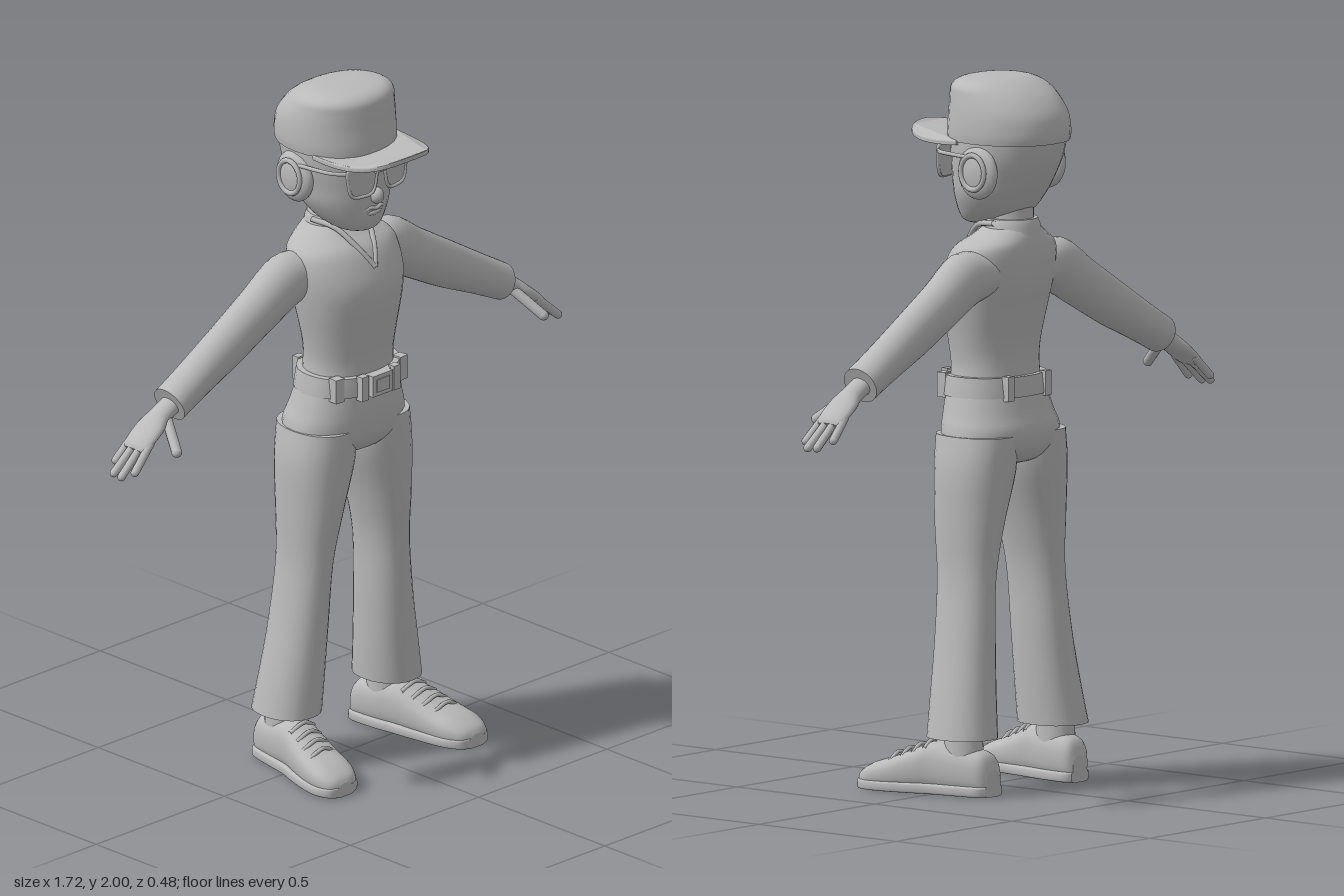
import * as THREE from 'three';

const V = (x, y, z) => new THREE.Vector3(x, y, z);
const gray = new THREE.MeshStandardMaterial({ color: 0xbababa, side: THREE.DoubleSide });
gray.name = 'plain gray';

// Smooth skin over oval rings [cx, cy, cz, rx, rz, tilt about z]; p < 1 makes the ovals boxier
function loft(keys, p = 1, seg = 28, sub = 4) {
  const rings = [];
  const last = keys.length - 1;
  for (let i = 0; i <= last * sub; i++) {
    const k = Math.min(Math.floor(i / sub), last - 1), t = i / sub - k;
    const at = n => keys[Math.max(0, Math.min(last, n))];
    rings.push(keys[k].map((b, c) => {
      const a = at(k - 1)[c], d = at(k + 1)[c], e = at(k + 2)[c];
      return b + 0.5 * t * (d - a + t * (2 * a - 5 * b + 4 * d - e + t * (3 * (b - d) + e - a)));
    }));
  }
  const pos = [], idx = [];
  const pow = v => Math.sign(v) * Math.abs(v) ** p;
  const addRing = ([cx, cy, cz, rx, rz, tilt]) => {
    for (let j = 0; j < seg; j++) {
      const a = j / seg * Math.PI * 2, u = rx * pow(Math.cos(a));
      pos.push(cx + u * Math.cos(tilt), cy + u * Math.sin(tilt), cz + rz * pow(Math.sin(a)));
    }
  };
  rings.forEach(addRing);
  for (let i = 0; i < rings.length - 1; i++) for (let j = 0; j < seg; j++) {
    const a = i * seg + j, b = i * seg + (j + 1) % seg, c = a + seg, d = b + seg;
    idx.push(a, c, b, b, c, d);
  }
  // End caps have their own corners so that their rims stay sharp
  [rings[0], rings[rings.length - 1]].forEach((r, top) => {
    const s = pos.length / 3;
    addRing(r);
    pos.push(r[0], r[1], r[2]);
    for (let j = 0; j < seg; j++) {
      const a = s + j, b = s + (j + 1) % seg;
      idx.push(s + seg, top ? b : a, top ? a : b);
    }
  });
  const g = new THREE.BufferGeometry();
  g.setAttribute('position', new THREE.Float32BufferAttribute(pos, 3));
  g.setIndex(idx);
  g.computeVertexNormals();
  return g;
}

// Level ring from height, half width, front z and back z
const ring = (y, rx, zf, zb, cx = 0) => [cx, y, (zf + zb) / 2, rx, (zf - zb) / 2, 0];

// Rounded rod between two points
function rod(a, b, r) {
  const d = b.clone().sub(a);
  const g = new THREE.CapsuleGeometry(r, d.length(), 4, 10);
  g.applyQuaternion(new THREE.Quaternion().setFromUnitVectors(V(0, 1, 0), d.normalize()));
  const m = a.clone().add(b).multiplyScalar(0.5);
  return g.translate(m.x, m.y, m.z);
}

const tube = (pts, r, closed = false) =>
  new THREE.TubeGeometry(new THREE.CatmullRomCurve3(pts, closed), 32, r, 8, closed);
const ball = (x, y, z, a, b, c) => new THREE.SphereGeometry(1, 24, 16).scale(a, b, c).translate(x, y, z);
const box = (x, y, z, a, b, c) => new THREE.BoxGeometry(a, b, c).translate(x, y, z);

function mirrored(geo) {
  const g = geo.clone().scale(-1, 1, 1);
  const n = g.attributes.position.count;
  const idx = g.index ? Array.from(g.index.array) : Array.from({ length: n }, (_, i) => i);
  g.setIndex(idx.reverse());
  g.clearGroups();
  return g;
}

export function createModel() {
  const model = new THREE.Group();
  model.name = 'figure';
  const add = (name, geo) => {
    const m = new THREE.Mesh(geo, gray);
    m.name = name;
    model.add(m);
  };
  const pair = (name, geo) => {
    add(name + 'Left', geo);
    add(name + 'Right', mirrored(geo));
  };

  // Head, neck and face
  add('head', loft([
    ring(1.578, 0.03, 0.06, 0), ring(1.59, 0.068, 0.078, -0.05), ring(1.62, 0.1, 0.09, -0.125),
    ring(1.67, 0.13, 0.094, -0.165), ring(1.72, 0.142, 0.097, -0.195),
    ring(1.78, 0.153, 0.1, -0.222), ring(1.85, 0.155, 0.1, -0.234), ring(1.9, 0.14, 0.08, -0.21),
  ]));
  add('neck', loft([ring(1.54, 0.068, -0.01, -0.145), ring(1.6, 0.062, -0.01, -0.14), ring(1.66, 0.065, 0, -0.14)]));
  add('nose', ball(0, 1.692, 0.095, 0.02, 0.024, 0.023));
  add('upperLip', tube([V(-0.042, 1.646, 0.077), V(-0.02, 1.657, 0.09), V(0, 1.653, 0.093), V(0.02, 1.657, 0.09), V(0.042, 1.646, 0.077)], 0.006));
  add('lowerLip', ball(0, 1.64, 0.087, 0.028, 0.008, 0.009));
  pair('ear', ball(0.147, 1.742, -0.078, 0.027, 0.075, 0.068));
  pair('earRim', new THREE.TorusGeometry(0.042, 0.007, 8, 24).rotateY(Math.PI / 2).scale(1, 1.15, 1).translate(0.171, 1.745, -0.078));

  // Glasses
  const rim = [[-0.046, 0.04], [0, 0.045], [0.046, 0.04], [0.047, 0], [0.034, -0.04], [0, -0.046], [-0.034, -0.04], [-0.047, 0]];
  const onFace = x => 0.113 - 1.3 * x * x;
  pair('glassesRim', tube(rim.map(([x, y]) => V(0.065 + x, 1.755 + y, onFace(0.065 + x))), 0.005, true));
  const lens = new THREE.ExtrudeGeometry(new THREE.Shape().setFromPoints(
    new THREE.SplineCurve([...rim, rim[0]].map(([x, y]) => new THREE.Vector2(x, y))).getPoints(32)), { depth: 0.006, bevelEnabled: false });
  pair('lens', lens.rotateY(0.17).translate(0.065, 1.755, 0.1));
  add('glassesBridge', rod(V(-0.02, 1.772, 0.112), V(0.02, 1.772, 0.112), 0.005));
  pair('glassesTemple', tube([V(0.112, 1.785, 0.095), V(0.143, 1.787, 0.06), V(0.162, 1.785, -0.05)], 0.006));

  // Cap with curved brim
  add('cap', loft([
    ring(1.822, 0.16, 0.107, -0.24), ring(1.85, 0.163, 0.106, -0.242), ring(1.9, 0.161, 0.1, -0.23),
    ring(1.945, 0.153, 0.096, -0.194), ring(1.975, 0.142, 0.089, -0.15), ring(1.993, 0.108, 0.065, -0.105),
    ring(1.999, 0.05, 0.02, -0.05), ring(2, 0.002, -0.01, -0.014),
  ], 0.94));
  const visor = new THREE.Shape();
  visor.moveTo(-0.15, 0);
  visor.bezierCurveTo(-0.15, 0.1, -0.14, 0.235, 0, 0.235);
  visor.bezierCurveTo(0.14, 0.235, 0.15, 0.1, 0.15, 0);
  const brim = new THREE.ExtrudeGeometry(visor, { depth: 0.008, bevelSize: 0.003, bevelThickness: 0.003, bevelSegments: 2, curveSegments: 20 });
  brim.rotateX(Math.PI / 2).translate(0, 1.862, 0);
  const bp = brim.attributes.position;
  for (let i = 0; i < bp.count; i++) {
    bp.setY(i, bp.getY(i) - 1.7 * bp.getX(i) ** 2 - 0.06 * bp.getZ(i));
  }
  brim.computeVertexNormals();
  add('brim', brim);

  // Shirt with collar
  add('shirt', loft([
    ring(1.1, 0.148, 0.092, -0.13), ring(1.18, 0.136, 0.09, -0.125), ring(1.25, 0.143, 0.096, -0.126),
    ring(1.35, 0.163, 0.109, -0.145), ring(1.42, 0.174, 0.11, -0.16), ring(1.48, 0.178, 0.088, -0.165),
    ring(1.525, 0.165, 0.06, -0.164), ring(1.555, 0.115, 0.022, -0.16), ring(1.58, 0.078, -0.005, -0.15),
  ], 0.92));
  add('collarBand', loft([ring(1.555, 0.088, 0.005, -0.162), ring(1.585, 0.08, 0, -0.156), ring(1.602, 0.073, -0.004, -0.15)]));
  pair('collarEdge', tube([V(0.08, 1.592, -0.08), V(0.06, 1.58, -0.005), V(0.032, 1.53, 0.052), V(0, 1.475, 0.09)], 0.008));
  pair('sleeve', loft([
    [0.09, 1.45, -0.068, 0.062, 0.07, -1.75], [0.19, 1.448, -0.068, 0.078, 0.066, -1.95],
    [0.3, 1.386, -0.07, 0.072, 0.06, -2.07], [0.43, 1.313, -0.07, 0.067, 0.056, -2.07],
    [0.55, 1.25, -0.07, 0.058, 0.055, -2.07], [0.645, 1.2, -0.07, 0.053, 0.057, -1.97],
  ]));

  // Hands
  pair('palm', loft([
    [0.62, 1.208, -0.07, 0.028, 0.033, -2.1], [0.68, 1.178, -0.07, 0.026, 0.034, -2.15],
    [0.72, 1.152, -0.07, 0.022, 0.047, -2.19], [0.77, 1.116, -0.07, 0.017, 0.046, -2.19], [0.786, 1.104, -0.07, 0.008, 0.036, -2.19],
  ]));
  [[0.812, 1.068, -0.113], [0.848, 1.048, -0.084], [0.85, 1.046, -0.052], [0.825, 1.06, -0.024]].forEach((t, i) =>
    pair('finger' + (i + 1), rod(V(0.755, 1.124, -0.106 + i * 0.024), V(...t), 0.012)));
  pair('thumb', rod(V(0.675, 1.17, -0.05), V(0.715, 1.105, 0.03), 0.015));

  // Trousers
  add('hips', loft([
    ring(0.91, 0.06, 0.02, -0.09), ring(0.925, 0.13, 0.06, -0.135), ring(0.96, 0.19, 0.088, -0.162),
    ring(1.01, 0.192, 0.098, -0.17), ring(1.06, 0.175, 0.1, -0.155), ring(1.14, 0.15, 0.097, -0.134),
  ], 0.92));
  const legRing = (y, xi, xo, zf, zb) => ring(y, (xo - xi) / 2, zf, zb, (xo + xi) / 2);
  pair('trouserLeg', loft([
    legRing(0.16, 0.107, 0.284, 0.04, -0.165), legRing(0.28, 0.1, 0.262, 0.042, -0.15),
    legRing(0.42, 0.094, 0.236, 0.045, -0.138), legRing(0.6, 0.085, 0.213, 0.052, -0.13),
    legRing(0.75, 0.052, 0.214, 0.068, -0.14), legRing(0.9, 0.008, 0.214, 0.08, -0.155),
    legRing(1.0, 0.01, 0.197, 0.085, -0.16),
  ], 0.92));

  // Belt with buckle and loops
  add('belt', loft([ring(1.105, 0.163, 0.108, -0.148), ring(1.135, 0.159, 0.108, -0.145), ring(1.162, 0.155, 0.107, -0.142)], 0.92));
  add('buckle', box(0, 1.132, 0.11, 0.078, 0.062, 0.022));
  add('bucklePlate', box(0, 1.132, 0.119, 0.05, 0.038, 0.01));
  pair('frontLoop', box(0.062, 1.132, 0.104, 0.026, 0.072, 0.022));
  pair('sideLoop', box(0.118, 1.132, 0.073, 0.03, 0.07, 0.03).rotateY(0.08));
  pair('backLoop', box(0.08, 1.132, -0.132, 0.026, 0.07, 0.022));

  // Ankles and shoes: sections run from heel to toe [z, centre x, half width, height]
  pair('ankle', loft([ring(0.1, 0.05, -0.01, -0.13, 0.198), ring(0.2, 0.046, -0.015, -0.125, 0.198)]));
  const sections = [
    [-0.168, 0.186, 0.03, 0.075], [-0.145, 0.19, 0.05, 0.122], [-0.07, 0.2, 0.058, 0.138],
    [0, 0.212, 0.06, 0.148], [0.05, 0.224, 0.066, 0.13], [0.12, 0.24, 0.072, 0.1],
    [0.18, 0.25, 0.07, 0.08], [0.22, 0.255, 0.052, 0.058], [0.234, 0.257, 0.026, 0.04],
  ];
  const along = (height, grow) => sections.map(([z, x, w, h]) => {
    const k = height ?? h;
    return [x, z, -k / 2, w + grow, k / 2, 0];
  });
  pair('shoe', loft(along(undefined, 0), 0.8).rotateX(Math.PI / 2));
  pair('sole', loft(along(0.032, 0.006), 0.4).rotateX(Math.PI / 2));
  for (let i = 0; i < 4; i++) {
    const z = 0.02 + i * 0.034, x = 0.217 + i * 0.008, y = 0.145 - i * 0.0135;
    pair('lace' + (i + 1), tube([V(x - 0.046, y - 0.018, z), V(x, y + 0.003, z + 0.006), V(x + 0.046, y - 0.018, z)], 0.006));
  }
  return model;
}
